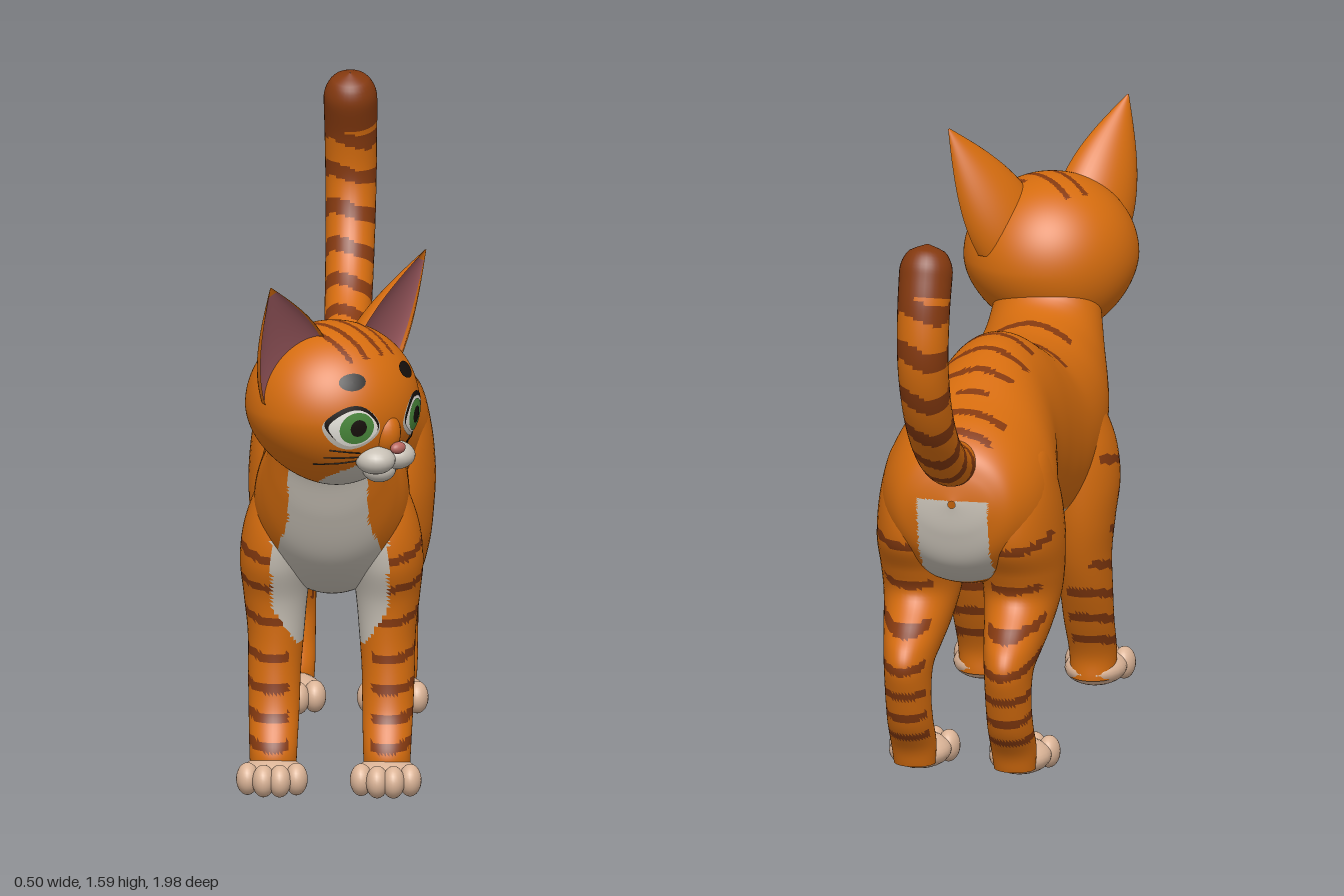
import * as THREE from 'three';

const mat = (name, color) => Object.assign(new THREE.MeshStandardMaterial({ color }), { name });
const fur = mat('orangeFur', 0xd56c0e), stripe = mat('brownStripe', 0x84390f), white = mat('whiteFur', 0xc6bfb4);
const toe = mat('paleToe', 0xdcb598), pink = mat('earPink', 0xa05c62), nosePink = mat('nosePink', 0xb8665f);
const green = mat('irisGreen', 0x4a8a3c), black = mat('black', 0x17100c), eyeWhite = mat('eyeWhite', 0xe9e6de);
const coat = [fur, stripe, white, pink];
const FUR = 0, STRIPE = 1, WHITE = 2, PINK = 3;

// Closed tube skin: pos(u, angle) gives the points, paint(p, angle, u) picks the coat colour of each face
function skin(name, rows, cols, pos, paint) {
  const pts = [], lists = coat.map(() => []);
  for (let i = 0; i <= rows; i++)
    for (let j = 0; j < cols; j++) pts.push(pos(i / rows, (j / cols) * Math.PI * 2));
  let volume = 0;
  const mid = new THREE.Vector3(), cross = new THREE.Vector3();
  const face = (a, b, c, ang, u) => {
    mid.copy(pts[a]).add(pts[b]).add(pts[c]).divideScalar(3);
    volume += pts[a].dot(cross.crossVectors(pts[b], pts[c]));
    lists[paint(mid, ang, u)].push(a, b, c);
  };
  for (let i = 0; i < rows; i++)
    for (let j = 0; j < cols; j++) {
      const k = (j + 1) % cols, a = i * cols + j, b = i * cols + k, c = a + cols, d = b + cols;
      const ang = ((j + 0.5) / cols) * Math.PI * 2, u = (i + 0.5) / rows;
      face(a, b, d, ang, u);
      face(a, d, c, ang, u);
    }
  const geo = new THREE.BufferGeometry().setFromPoints(pts), index = [];
  lists.forEach((list, m) => {
    if (!list.length) return;
    geo.addGroup(index.length, list.length, m);
    for (let i = 0; i < list.length; i += 3)
      index.push(list[i], ...(volume > 0 ? [list[i + 1], list[i + 2]] : [list[i + 2], list[i + 1]]));
  });
  geo.setIndex(index);
  geo.computeVertexNormals();
  const mesh = new THREE.Mesh(geo, coat);
  mesh.name = name;
  return mesh;
}

// Loft through elliptical sections [zA, yA, zB, yB, halfWidth, centreX]
function loft(name, sections, rows, cols, paint) {
  const curve = f => new THREE.CatmullRomCurve3(sections.map(f), false, 'catmullrom', 0.5);
  const A = curve(s => new THREE.Vector3(0, s[1], s[0]));
  const B = curve(s => new THREE.Vector3(0, s[3], s[2]));
  const W = curve(s => new THREE.Vector3(s[4], s[5] || 0, 0));
  return skin(name, rows, cols, (u, a) => {
    const p = A.getPoint(u), q = B.getPoint(u), w = W.getPoint(u);
    const r = p.clone().sub(q).multiplyScalar(0.5 * Math.sin(a));
    return p.add(q).multiplyScalar(0.5).add(r).setX(w.y + Math.cos(a) * w.x);
  }, paint);
}

function ball(name, material, x, y, z, rx, ry, rz) {
  const mesh = new THREE.Mesh(new THREE.SphereGeometry(1, 24, 16), material);
  mesh.name = name;
  mesh.position.set(x, y, z);
  mesh.scale.set(rx, ry, rz);
  return mesh;
}

// Torso and neck, rump first
function torso() {
  const backStripes = [[-0.48, 0.09, 0.012], [-0.4, 0.11, 0.014], [-0.31, 0.04, 0.01], [-0.22, 0.09, 0.012],
    [-0.12, 0.11, 0.012], [-0.01, 0.1, 0.015], [0.1, 0.05, 0.025], [0.26, 0.13, 0.015], [0.41, 0.11, 0.014]];
  return loft('torso', [
    [-0.575, 0.8, -0.575, 0.78, 0.01], [-0.56, 0.87, -0.565, 0.7, 0.11], [-0.53, 0.93, -0.53, 0.61, 0.17],
    [-0.45, 0.98, -0.44, 0.54, 0.215], [-0.33, 1.02, -0.32, 0.52, 0.23], [-0.2, 1.07, -0.2, 0.53, 0.205],
    [-0.08, 1.1, -0.08, 0.525, 0.182], [0.03, 1.095, 0.08, 0.51, 0.182], [0.13, 1.055, 0.2, 0.49, 0.19],
    [0.23, 1.01, 0.3, 0.485, 0.2], [0.33, 1.0, 0.42, 0.51, 0.205], [0.41, 1.01, 0.52, 0.57, 0.198],
    [0.47, 1.025, 0.6, 0.65, 0.18], [0.51, 1.05, 0.66, 0.77, 0.16], [0.54, 1.09, 0.7, 0.88, 0.145],
    [0.57, 1.12, 0.74, 0.95, 0.13]], 170, 96, (p, a) => {
    const x = Math.abs(p.x), under = Math.sin(a) < -0.2;
    if (under && p.z > 0.4 && x < 0.105 + Math.max(0, 0.76 - p.y) * 0.33) return WHITE;
    if (under && p.z <= 0.4 && p.z > -0.14 && p.y < 0.55 + 0.1 * (0.25 - Math.abs(p.z - 0.08))) return WHITE;
    if (p.z < -0.45 && p.y < 0.8 && x < 0.095) return WHITE;
    const band = backStripes.some(([z, len, th]) => x < len && Math.abs(p.z - z + 0.15 * x) < th);
    return Math.sin(a) > 0 && band ? STRIPE : FUR;
  });
}

// Legs, s = side
function frontLeg(s) {
  return loft('frontLeg', [
    [0.55, 0.03, 0.43, 0.03, 0.06, 0.15], [0.555, 0.1, 0.425, 0.1, 0.063, 0.15], [0.505, 0.2, 0.375, 0.2, 0.067, 0.15],
    [0.485, 0.3, 0.325, 0.3, 0.07, 0.15], [0.48, 0.4, 0.285, 0.4, 0.075, 0.147], [0.49, 0.5, 0.26, 0.5, 0.085, 0.148],
    [0.525, 0.6, 0.25, 0.6, 0.097, 0.145], [0.53, 0.7, 0.25, 0.7, 0.1, 0.13], [0.5, 0.8, 0.27, 0.8, 0.085, 0.11],
    [0.45, 0.88, 0.3, 0.88, 0.06, 0.1], [0.38, 0.92, 0.36, 0.92, 0.01, 0.1],
  ].map(r => [...r.slice(0, 5), s * r[5]]), 90, 44, p => {
    const x = Math.abs(p.x), h = p.y + 0.25 * (p.z - 0.42);
    if (p.y > 0.38 && p.z > 0.37 && x < Math.min(0.155, 0.09 + (p.y - 0.38) * 0.6)) return WHITE;
    const band = [0.15, 0.21, 0.28, 0.36, 0.46, 0.56, 0.65].some((y, i) =>
      Math.abs(h - y) < 0.012 && p.z > 0.3 + 0.04 * (i % 3) - (i < 3 ? 0.1 : 0));
    return band && x > 0.11 ? STRIPE : FUR;
  });
}
function hindLeg(s) {
  return loft('hindLeg', [
    [-0.36, 0.03, -0.46, 0.03, 0.055], [-0.365, 0.1, -0.48, 0.08, 0.06], [-0.4, 0.17, -0.53, 0.15, 0.06],
    [-0.415, 0.24, -0.565, 0.24, 0.06], [-0.38, 0.31, -0.59, 0.32, 0.063], [-0.3, 0.345, -0.575, 0.375, 0.073],
    [-0.23, 0.39, -0.52, 0.43, 0.086], [-0.17, 0.46, -0.46, 0.5, 0.1], [-0.14, 0.54, -0.48, 0.57, 0.108],
    [-0.13, 0.64, -0.53, 0.66, 0.112], [-0.16, 0.76, -0.52, 0.78, 0.1], [-0.24, 0.88, -0.45, 0.88, 0.07],
    [-0.33, 0.93, -0.36, 0.93, 0.01]].map(r => [...r, s * 0.135]), 90, 44, p => {
    const h = p.y - 0.25 * (p.z + 0.45);
    const band = [0.14, 0.21, 0.28, 0.36, 0.44, 0.53, 0.67].some((y, i) =>
      Math.abs(h - y) < 0.012 && p.z < (i < 3 ? -0.44 : -0.4) - 0.02 * (i % 2));
    return band && Math.abs(p.x) > 0.08 ? STRIPE : FUR;
  });
}
function paw(name, x, z) {
  const g = new THREE.Group();
  g.name = name;
  g.position.set(x, 0, z);
  g.add(ball('pawPad', toe, 0, 0.045, -0.005, 0.082, 0.045, 0.095));
  [-1.5, -0.5, 0.5, 1.5].forEach(i =>
    g.add(ball('toe', toe, i * 0.043, 0.044, 0.078 - 0.012 * i * i, 0.03, 0.043, 0.042)));
  return g;
}

// Upright ringed tail
function tail() {
  const path = new THREE.CatmullRomCurve3([[0.88, -0.46], [0.91, -0.6], [0.995, -0.75], [1.13, -0.87],
    [1.28, -0.928], [1.42, -0.92], [1.52, -0.89], [1.59, -0.87]].map(([y, z]) => new THREE.Vector3(0, y, z)));
  const sections = [];
  for (let i = 0; i <= 60; i++) {
    const t = i / 60, c = path.getPointAt(t), d = path.getTangentAt(t);
    const r = (0.058 + 0.014 * t) * Math.sqrt(Math.max(0.0004, 1 - Math.max(0, (t - 0.92) / 0.08) ** 2));
    sections.push([c.z + d.y * r, c.y - d.z * r, c.z - d.y * r, c.y + d.z * r, r]);
  }
  return loft('tail', sections, 110, 32, (p, a, u) =>
    u > 0.85 || (u > 0.1 && (u * 8.5 + 0.12 * Math.sin(2 * a) + 0.2) % 1 < 0.4) ? STRIPE : FUR);
}

// Head, an egg narrowing to the jaw, facing local +z
const RX = 0.235, RY = 0.218, RZ = 0.225;
const jaw = y => 1 - 0.25 * Math.max(0, -y / RY) ** 1.5;
const faceZ = (x, y) => RZ * Math.sqrt(Math.max(0, 1 - (x / (RX * jaw(y))) ** 2 - (y / RY) ** 2));

// Thin patch lying on the face; pinch draws the corners in
function patch(name, material, x, y, rx, ry, lift, tilt = 0, pinch = 0) {
  const geo = new THREE.RingGeometry(0, 1, 36, 5), pos = geo.attributes.position;
  for (let i = 0; i < pos.count; i++) {
    const u = pos.getX(i), px = u * rx, py = pos.getY(i) * ry * (1 - pinch * u * u);
    const fx = x + px * Math.cos(tilt) - py * Math.sin(tilt), fy = y + px * Math.sin(tilt) + py * Math.cos(tilt);
    pos.setXYZ(i, fx, fy, faceZ(fx, fy) + lift);
  }
  geo.computeVertexNormals();
  const mesh = new THREE.Mesh(geo, material);
  mesh.name = name;
  return mesh;
}

// Cupped ear with a pink hollow
function ear(s) {
  const base = new THREE.Vector3(0.14, 0.09, 0.015), tip = new THREE.Vector3(0.288, 0.375, 0.06);
  const across = new THREE.Vector3(0.86, -0.47, -0.2), front = new THREE.Vector3(0.22, 0.05, 0.97);
  return skin('ear', 36, 44, (t, a) => {
    const w = 0.114 * Math.cos((t * Math.PI) / 2) + 0.002, k = Math.sin(a);
    const p = base.clone().lerp(tip, t).addScaledVector(across, Math.cos(a) * w)
      .addScaledVector(front, k > 0 ? -0.4 * w * k : 0.75 * w * k);
    p.x *= s;
    return p;
  }, (p, a, t) => (Math.sin(a) > 0.3 && t < 0.93 ? PINK : FUR));
}

function head() {
  const g = new THREE.Group();
  g.name = 'head';
  g.add(skin('skull', 110, 110, (u, a) => {
    const y = -Math.cos(u * Math.PI) * RY, r = Math.sin(u * Math.PI);
    return new THREE.Vector3(Math.cos(a) * r * RX * jaw(y), y, Math.sin(a) * r * RZ);
  }, p => {
    const x = Math.abs(p.x);
    if (p.z > 0 && p.y < -0.21 + 0.5 * p.z) return WHITE;
    const crown = p.y > 0.1 && ((Math.abs(x - 0.028) < 0.008 && Math.abs(p.z - 0.02) < 0.14)
      || (Math.abs(x - 0.075) < 0.007 && Math.abs(p.z - 0.08) < 0.07));
    return crown ? STRIPE : FUR;
  }));
  g.add(ball('noseBridge', fur, 0, -0.045, 0.195, 0.042, 0.06, 0.045));
  g.add(ball('nose', nosePink, 0, -0.078, 0.246, 0.024, 0.016, 0.016));
  g.add(ball('chin', white, 0, -0.148, 0.175, 0.045, 0.035, 0.045));
  for (const s of [-1, 1]) {
    g.add(ear(s));
    g.add(ball('muzzle', white, s * 0.037, -0.112, 0.198, 0.052, 0.038, 0.055));
    g.add(patch('eyeRim', white, s * 0.112, -0.014, 0.07, 0.06, 0.002, s * 0.15, 0.3));
    g.add(patch('lashLine', black, s * 0.113, -0.007, 0.066, 0.054, 0.0035, s * 0.15, 0.35));
    g.add(patch('eyeWhite', eyeWhite, s * 0.112, -0.014, 0.06, 0.05, 0.005, s * 0.15, 0.35));
    g.add(patch('iris', green, s * 0.108, -0.014, 0.042, 0.043, 0.007));
    g.add(patch('pupil', black, s * 0.107, -0.013, 0.02, 0.023, 0.0085));
    g.add(patch('browSpot', black, s * 0.098, 0.105, 0.034, 0.02, 0.004, s * -0.2));
    for (const i of [-1, 0, 1]) {
      const pts = [0.085, 0.12, 0.155].map((x, k) => {
        const y = -0.1 + i * (0.012 + 0.006 * k);
        return new THREE.Vector3(s * x, y, faceZ(x, y) + 0.004);
      });
      const whisker = new THREE.Mesh(new THREE.TubeGeometry(new THREE.CatmullRomCurve3(pts), 8, 0.0018, 5), black);
      whisker.name = 'whisker';
      g.add(whisker);
    }
  }
  g.position.set(0, 1.11, 0.73);
  g.rotation.y = 0.82;
  return g;
}

export function createModel() {
  const model = new THREE.Group(), body = new THREE.Group();
  model.name = 'cat';
  body.name = 'body';
  body.position.x = -0.015;
  body.add(torso(), tail());
  for (const s of [-1, 1])
    body.add(frontLeg(s), hindLeg(s), paw('frontPaw', s * 0.15, 0.53), paw('hindPaw', s * 0.135, -0.335));
  model.add(body, head());
  return model;
}
